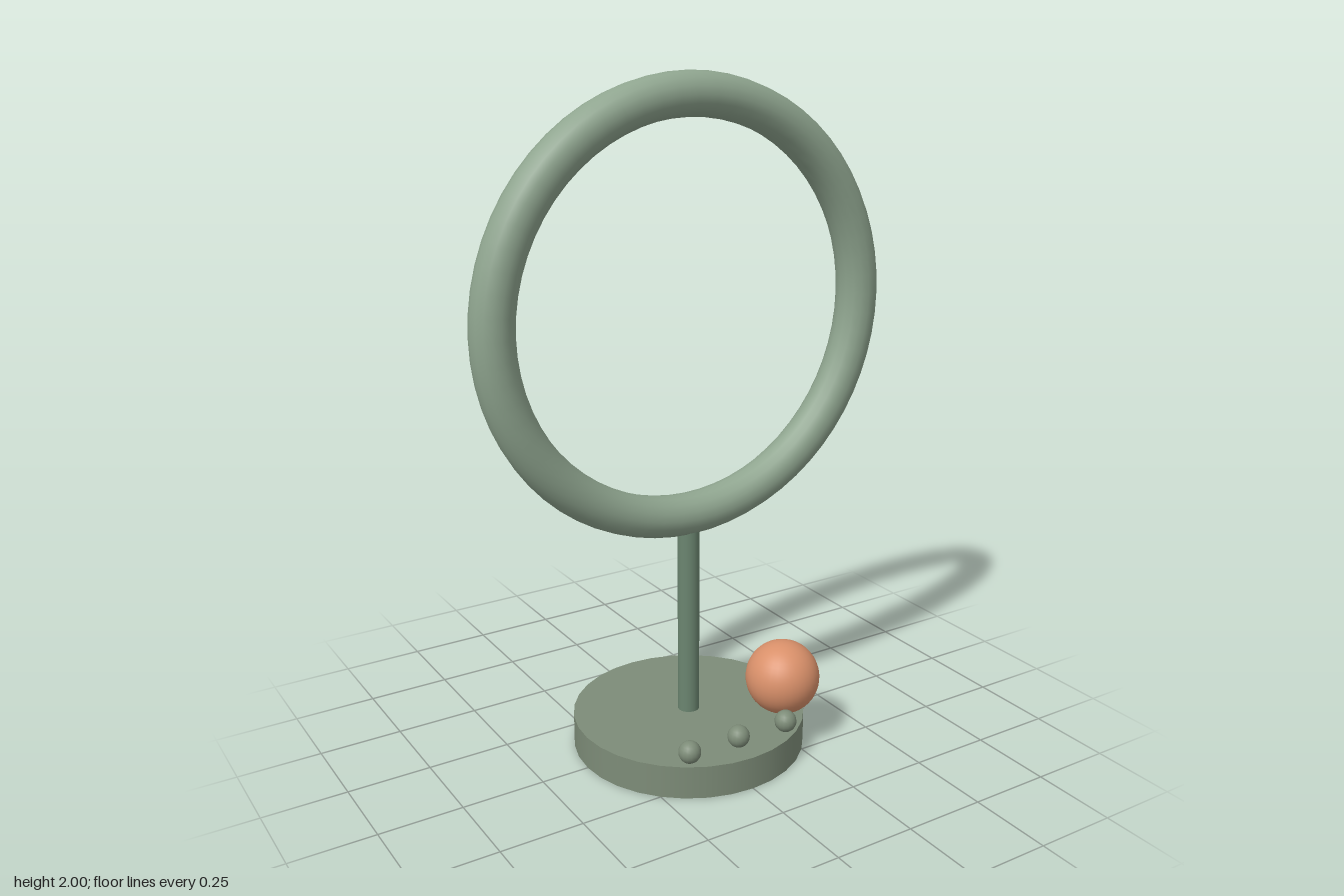
import * as THREE from 'three';

const material = (color) => new THREE.MeshStandardMaterial({ color });

export function createModel() {
  const model = new THREE.Group();
  const sage = material(0x8fa58f);
  const moss = material(0x7d8c78);
  const green = material(0x6b8570);
  const copper = material(0xd9906a);

  const add = (name, geometry, mat, x, y, z) => {
    const mesh = new THREE.Mesh(geometry, mat);
    mesh.name = name;
    mesh.position.set(x, y, z);
    model.add(mesh);
  };

  // round foot and upright stem, the stem ending inside the ring
  add('base', new THREE.CylinderGeometry(0.353, 0.353, 0.1, 32), moss, 0, 0.05, 0);
  add('stem', new THREE.CylinderGeometry(0.033, 0.033, 0.62, 16), green, 0, 0.41, 0);

  // large upright ring
  add('ring', new THREE.TorusGeometry(0.601, 0.062, 16, 64), sage, 0, 1.337, 0);

  // row of small control beads along the front of the foot
  for (const [i, name] of ['rightButton', 'middleButton', 'leftButton'].entries()) {
    add(name, new THREE.SphereGeometry(0.033, 16, 12), moss, (i - 1) * 0.168, 0.132, 0.275);
  }

  // ball resting on the foot
  add('ball', new THREE.SphereGeometry(0.112, 32, 24), copper, 0.226, 0.22, 0.176);

  return model;
}
